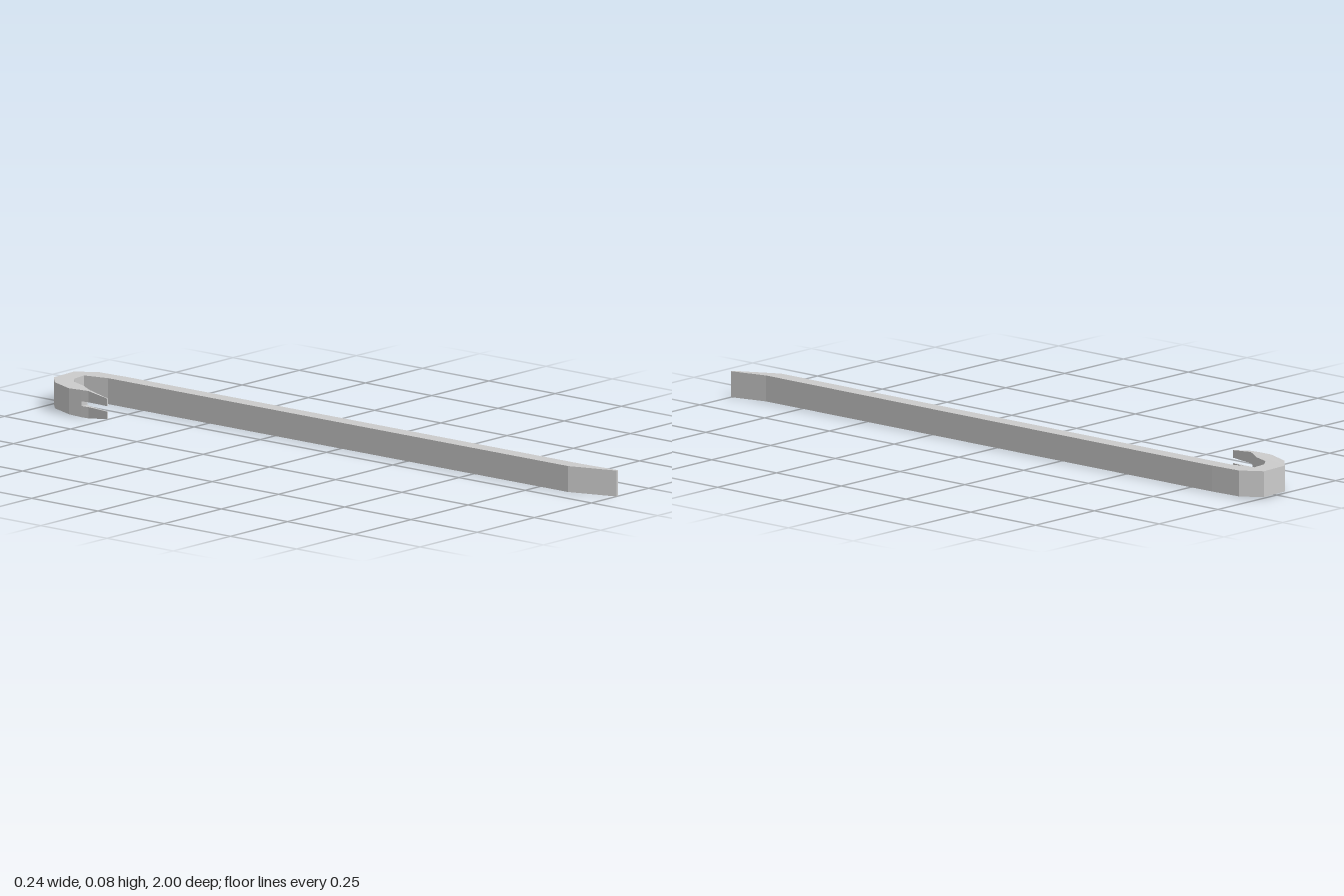
import * as THREE from 'three';

const BOTTOM = 0.003, TOP = 0.079;

// Plan outline given as [x, z], raised from y0 to y1
function slab(points, y0, y1) {
  const shape = new THREE.Shape(points.map(([x, z]) => new THREE.Vector2(x, -z)));
  const geo = new THREE.ExtrudeGeometry(shape, { depth: y1 - y0, bevelEnabled: false });
  geo.rotateX(-Math.PI / 2);
  geo.translate(0, y0, 0);
  return geo;
}

// Moves the vertices' y by a rule, then renews the flat normals
function bendY(geo, rule) {
  const p = geo.attributes.position;
  for (let i = 0; i < p.count; i++) p.setY(i, rule(p.getY(i), p.getZ(i)));
  geo.computeVertexNormals();
  return geo;
}

export function createModel() {
  const group = new THREE.Group();
  group.name = 'crowbar';
  const material = new THREE.MeshStandardMaterial({ color: 0xcccccc, flatShading: true });
  const add = (name, geo) => {
    const mesh = new THREE.Mesh(geo, material);
    mesh.name = name;
    group.add(mesh);
  };

  // Hook, shaft and chisel end in one bent outline
  const outer = [
    [0.117, 1], [0.1, 0.88], [0.1, -0.84], [0.095, -0.94], [0.055, -1],
    [-0.04, -0.995], [-0.087, -0.95], [-0.119, -0.87], [-0.1155, -0.825],
  ];
  const inner = [
    [-0.09, -0.825], [-0.066, -0.86], [-0.045, -0.915], [-0.013, -0.94],
    [0.035, -0.945], [0.053, -0.87], [0.053, 0.865], [0.109, 1],
  ];
  add('bar', bendY(slab([...outer, ...inner], BOTTOM, TOP), (y, z) => {
    if (z > 0.95) return y - 0.003; // chisel edge sits slightly lower
    if (z < -0.8 && z > -0.83) return y < 0.04 ? 0 : 0.08; // flare before the claw
    return y;
  }));

  // Two tapering claw prongs either side of the nail slot
  const prong = [
    [-0.1155, -0.825], [-0.113, -0.8], [-0.119, -0.725],
    [-0.116, -0.725], [-0.1, -0.808], [-0.09, -0.825],
  ];
  const taper = (y, z) => {
    if (z < -0.73) return y;
    const d = y - 0.04;
    return 0.04 + Math.sign(d) * (Math.abs(d) > 0.02 ? 0.03 : 0.008);
  };
  add('lowerProng', bendY(slab(prong, 0, 0.033), taper));
  add('upperProng', bendY(slab(prong, 0.047, 0.08), taper));

  return group;
}
